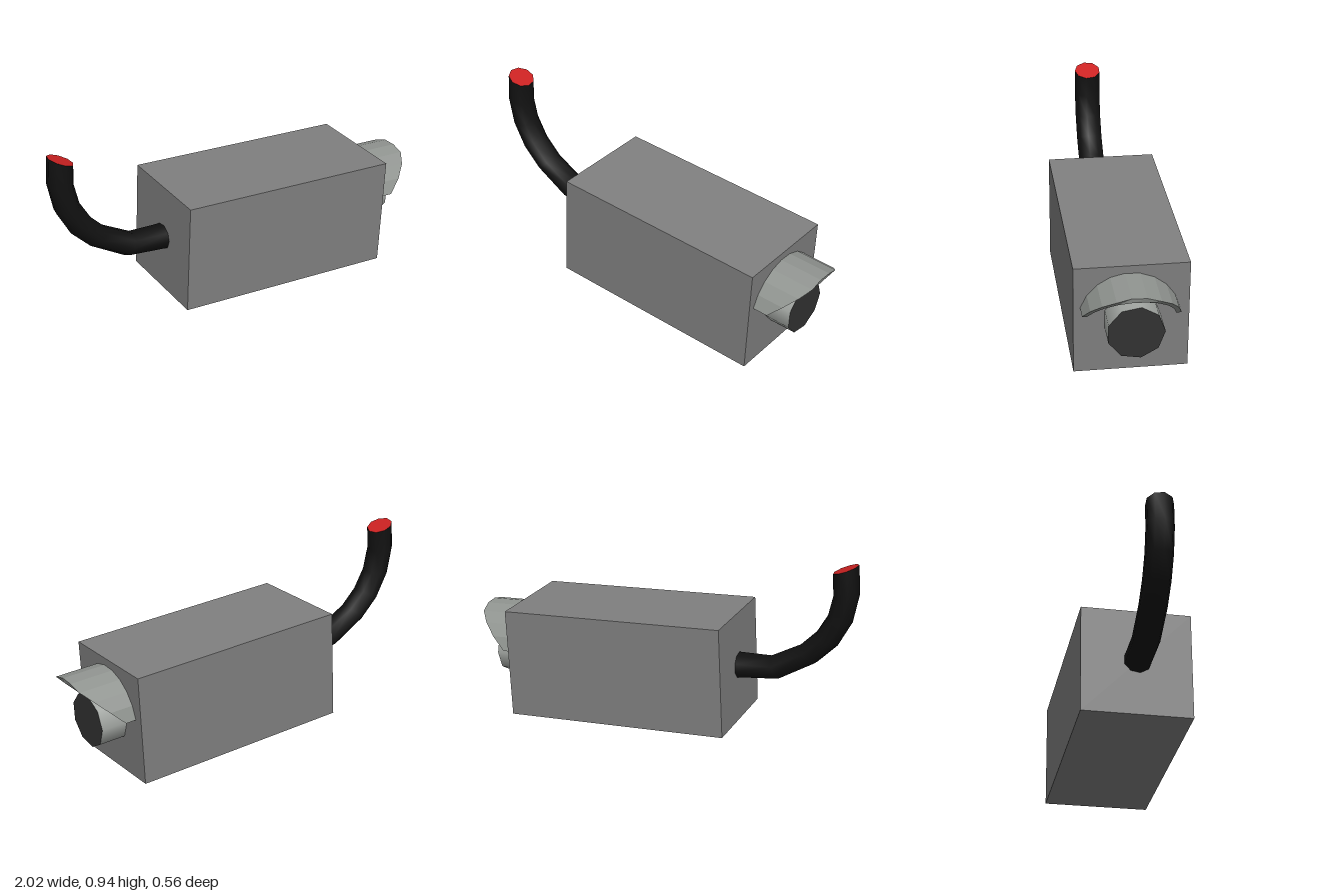
import * as THREE from 'three';

const paint = (color, extra = {}) => new THREE.MeshStandardMaterial({ color, ...extra });

function add(parent, name, geometry, material) {
  const mesh = new THREE.Mesh(geometry, material);
  mesh.name = name;
  parent.add(mesh);
  return mesh;
}

// Skin through closed cross-sections (each counter-clockwise about the path).
function loft(sections, capped) {
  const n = sections[0].length, index = [];
  for (let i = 0; i < sections.length - 1; i++) {
    for (let j = 0; j < n; j++) {
      const k = (j + 1) % n, a = i * n, b = a + n;
      index.push(a + j, a + k, b + j, a + k, b + k, b + j);
    }
  }
  if (capped) {
    const e = (sections.length - 1) * n;
    for (let j = 1; j < n - 1; j++) index.push(0, j + 1, j, e, e + j, e + j + 1);
  }
  return toGeometry(sections.flat(), index);
}

function toGeometry(points, index) {
  const geometry = new THREE.BufferGeometry().setFromPoints(points);
  geometry.setIndex(index);
  geometry.computeVertexNormals();
  return geometry;
}

export function createModel() {
  const model = new THREE.Group();
  model.name = 'securityCamera';

  // Housing, tilted slightly down towards the lens
  const head = new THREE.Group();
  head.name = 'cameraHead';
  head.position.set(0.1925, 0.315, 0);
  head.rotation.z = -0.047;
  model.add(head);
  add(head, 'housing', new THREE.BoxGeometry(1.171, 0.566, 0.555), paint(0x808080));

  // Nine-sided lens barrel with a dark glass
  const R = 0.139, wall = 0.575, front = 0.723;
  const barrel = new THREE.CylinderGeometry(R, R, front - wall, 9, 1, true, Math.PI);
  barrel.rotateZ(-Math.PI / 2);
  add(head, 'lensBarrel', barrel, paint(0xa4a8a4)).position.set((front + wall) / 2, 0, -0.003);
  const glass = new THREE.CircleGeometry(R, 9).rotateY(Math.PI / 2);
  add(head, 'lensGlass', glass, paint(0x333333)).position.set(front, 0, -0.003);

  // Curved sun hood: arched shell whose front edge slants back at the sides
  const hoodEnd = y => Math.min(0.816, 0.669 + (y - 0.076));
  const arches = [];
  for (let i = 0; i <= 9; i++) {
    const a = THREE.MathUtils.degToRad(17 + (152 * i) / 9);
    const corner = (r, atFront) => {
      const y = r * Math.sin(a);
      return new THREE.Vector3(atFront ? hoodEnd(y) : wall, y, 0.01 + r * Math.cos(a));
    };
    arches.push([corner(0.245, false), corner(0.245, true), corner(0.22, true), corner(0.22, false)]);
  }
  add(head, 'sunHood', loft(arches, true), paint(0x909490, { flatShading: true }));

  // Bent cable: each row holds the outer and inner edge of the bend
  const bend = [
    [-0.36, 0.28, -0.36, 0.415], [-0.615, 0.31, -0.56, 0.42], [-0.80, 0.42, -0.71, 0.50],
    [-0.90, 0.52, -0.79, 0.58], [-0.97, 0.65, -0.845, 0.675], [-1.0, 0.80, -0.87, 0.785],
    [-0.99, 0.945, -0.865, 0.895],
  ];
  const sides = 9;
  const rings = bend.map(([ox, oy, ix, iy]) => Array.from({ length: sides }, (_, j) => {
    const t = Math.PI / 2 + (j * 2 * Math.PI) / sides, c = Math.cos(t) / 2;
    return new THREE.Vector3(
      (ox + ix) / 2 + (ox - ix) * c, (oy + iy) / 2 + (oy - iy) * c, 0.005 + 0.07 * Math.sin(t));
  }));
  add(model, 'cable', loft(rings, false), paint(0x111111));

  // Red cut end of the cable
  const fan = [];
  for (let j = 1; j < sides - 1; j++) fan.push(0, j, j + 1);
  add(model, 'cableEnd', toGeometry(rings[rings.length - 1], fan), paint(0xcc2222));

  return model;
}
